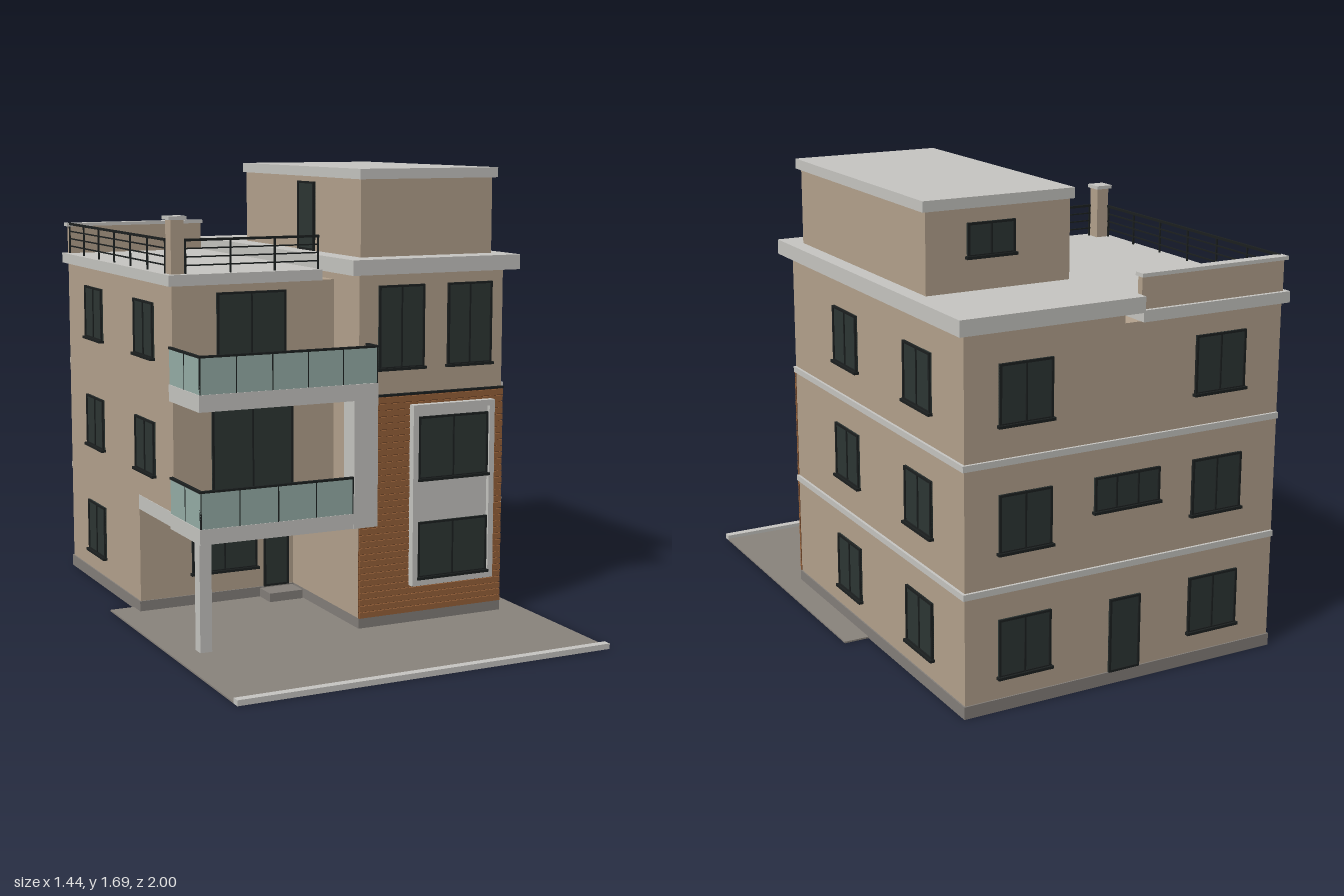
import * as THREE from 'three';

const mat = (name, color) => {
  const m = new THREE.MeshStandardMaterial({ color });
  m.name = name;
  return m;
};

export function createModel() {
  const house = new THREE.Group();
  house.name = 'house';
  const M = {
    wall: mat('beige render', 0xb5a38e),
    trim: mat('light concrete', 0xc8c7c3),
    wood: mat('wood cladding', 0x98623a),
    gap: mat('dark wood', 0x5a351d),
    glass: mat('window glass', 0x2d3634),
    frame: mat('black metal', 0x1c2020),
    balcony: mat('balcony glass', 0x97afa8),
    paving: mat('paving', 0x8a847d),
    plinth: mat('plinth grey', 0x85807b),
  };

  // Box given by its minimum and maximum on each axis
  const box = (name, material, x0, x1, y0, y1, z0, z1, parent = house) => {
    const mesh = new THREE.Mesh(new THREE.BoxGeometry(x1 - x0, y1 - y0, z1 - z0), material);
    mesh.position.set((x0 + x1) / 2, (y0 + y1) / 2, (z0 + z1) / 2);
    mesh.name = name;
    parent.add(mesh);
    return mesh;
  };

  // Framed opening on a wall: u runs along the wall, d is the wall plane
  const opening = (name, side, u0, u1, y0, y1, d, { sill = true, panes = 2 } = {}) => {
    const g = new THREE.Group();
    g.name = name;
    const w = u1 - u0, h = y1 - y0, f = 0.008;
    box('pane', M.glass, -w / 2, w / 2, 0, h, 0, 0.005, g);
    for (const s of [-1, 1]) {
      const x = s * (w / 2 - f / 2);
      box('frameSide', M.frame, x - f / 2, x + f / 2, 0, h, 0, 0.01, g);
    }
    box('frameTop', M.frame, -w / 2 + f, w / 2 - f, h - f, h, 0, 0.01, g);
    box('frameBottom', M.frame, -w / 2 + f, w / 2 - f, 0, f, 0, 0.01, g);
    for (let i = 1; i < panes; i++) {
      const x = -w / 2 + (w * i) / panes;
      box('mullion', M.frame, x - 0.003, x + 0.003, f, h - f, 0, 0.009, g);
    }
    if (sill) box('sill', M.frame, -w / 2 - 0.006, w / 2 + 0.006, -0.006, 0.004, 0, 0.018, g);
    const u = (u0 + u1) / 2;
    if (side === 'front') g.position.set(u, y0, d);
    if (side === 'back') { g.position.set(u, y0, d); g.rotation.y = Math.PI; }
    if (side === 'left') { g.position.set(d, y0, u); g.rotation.y = Math.PI / 2; }
    if (side === 'right') { g.position.set(d, y0, u); g.rotation.y = -Math.PI / 2; }
    house.add(g);
  };

  // Forecourt and kerb
  box('forecourt', M.paving, -0.72, 0.72, 0, 0.006, -0.225, 0.97);
  box('kerb', M.trim, -0.72, 0.72, 0, 0.02, 0.97, 1);

  // Plinths and door step
  box('tallWingPlinth', M.plinth, 0.02, 0.625, 0, 0.045, -0.975, 0.41);
  box('lowWingPlinth', M.plinth, -0.625, 0.02, 0, 0.045, -0.975, -0.155);
  box('doorStep', M.plinth, -0.125, 0.015, 0, 0.04, -0.155, -0.06);

  // Wings: the low wing's ground floor is set back under the upper floors
  box('tallWing', M.wall, 0.02, 0.62, 0.045, 1.315, -0.97, 0.405);
  box('lowWingGroundFloor', M.wall, -0.62, 0.02, 0.045, 0.46, -0.97, -0.16);
  box('lowWingUpperFloors', M.wall, -0.62, 0.02, 0.46, 1.28, -0.97, 0.2);
  box('porchSoffit', M.trim, -0.622, 0.02, 0.405, 0.46, -0.16, 0.2);

  // Floor bands along the long side and the back
  for (const y of [0.424, 0.864]) {
    box('sideBand', M.trim, 0.62, 0.63, y, y + 0.022, -0.98, 0.405);
    box('backBand', M.trim, -0.62, 0.62, y, y + 0.022, -0.98, -0.97);
  }

  // Roof slabs
  box('lowRoof', M.trim, -0.64, -0.04, 1.28, 1.32, -0.99, 0.225);
  box('tallRoof', M.trim, -0.04, 0.65, 1.315, 1.37, -1, 0.475);

  // Stair house on the roof
  box('stairHouse', M.wall, 0.045, 0.592, 1.37, 1.65, -0.655, 0.365);
  box('stairHouseRoof', M.trim, 0.035, 0.608, 1.65, 1.687, -0.67, 0.38);
  opening('stairHouseDoor', 'right', -0.15, -0.01, 1.37, 1.63, 0.045, { sill: false, panes: 1 });
  opening('stairHouseWindow', 'back', 0.26, 0.44, 1.485, 1.6, -0.655);

  // Terrace parapet, pillar and railings
  box('parapet', M.wall, -0.62, -0.04, 1.32, 1.43, -0.975, -0.95);
  box('parapetCap', M.trim, -0.632, -0.035, 1.43, 1.443, -0.985, -0.942);
  box('pillar', M.wall, -0.62, -0.57, 1.32, 1.512, 0.145, 0.197);
  box('pillarCap', M.trim, -0.63, -0.563, 1.512, 1.525, 0.136, 0.206);
  const r = 0.003;
  for (const y of [1.35, 1.38, 1.41, 1.44]) {
    const t = y > 1.43 ? 0.0045 : 0.0025;
    box('frontRail', M.frame, -0.57, -0.04, y - t, y + t, 0.195 - t, 0.195 + t);
    box('sideRail', M.frame, -0.62 - t, -0.62 + t, y - t, y + t, -0.95, 0.145);
  }
  for (let i = 0; i < 4; i++) {
    const x = -0.565 + i * 0.174;
    box('frontRailPost', M.frame, x - r, x + r, 1.32, 1.44, 0.192, 0.198);
  }
  for (let i = 0; i < 7; i++) {
    const z = 0.14 - i * 0.181;
    box('sideRailPost', M.frame, -0.623, -0.617, 1.32, 1.44, z - r, z + r);
  }

  // Balconies joined by an upright fin, with a column below
  box('lowerBalcony', M.trim, -0.635, -0.04, 0.405, 0.46, 0.2, 0.485);
  box('upperBalcony', M.trim, -0.635, -0.04, 0.87, 0.93, 0.2, 0.485);
  box('balconyFin', M.trim, -0.04, 0.055, 0.405, 0.93, 0.405, 0.488);
  for (const y of [0.405, 0.87]) box('balconyInfill', M.trim, -0.04, 0.02, y, y + 0.055, 0.2, 0.405);
  box('column', M.trim, -0.62, -0.575, 0.006, 0.405, 0.395, 0.44);

  const balustrade = (y, xEnd, posts, hasReturn) => {
    const top = y + 0.127, x0 = -0.632, z1 = 0.483;
    box('frontGlass', M.balcony, x0, xEnd, y, top, z1 - 0.006, z1);
    box('sideGlass', M.balcony, x0, x0 + 0.006, y, top, 0.2, z1 - 0.006);
    box('frontHandrail', M.frame, x0 - 0.004, xEnd + 0.003, top, top + 0.008, z1 - 0.009, z1 + 0.003);
    box('sideHandrail', M.frame, x0 - 0.004, x0 + 0.008, top, top + 0.008, 0.2, z1 - 0.009);
    if (hasReturn) {
      box('returnGlass', M.balcony, xEnd - 0.006, xEnd, y, top, 0.405, z1 - 0.006);
      box('returnHandrail', M.frame, xEnd - 0.009, xEnd + 0.003, top, top + 0.008, 0.405, z1 - 0.009);
    }
    for (let i = 0; i < posts; i++) {
      const x = x0 + ((xEnd - x0) * i) / (posts - 1);
      const xc = Math.min(Math.max(x, x0 + 0.002), xEnd - 0.002);
      box('glassPost', M.frame, xc - 0.002, xc + 0.002, y, top, z1 - 0.008, z1 + 0.001);
    }
    box('sideGlassPost', M.frame, x0 - 0.001, x0 + 0.008, y, top, 0.338, 0.342);
  };
  balustrade(0.46, -0.04, 5, false);
  balustrade(0.93, 0.055, 6, true);

  // Wood cladding: slats over a dark backing
  box('claddingBacking', M.gap, 0.02, 0.62, 0.045, 0.865, 0.405, 0.409);
  const slats = 34, pitch = 0.82 / slats;
  for (let i = 0; i < slats; i++) {
    const y = 0.045 + i * pitch;
    box('slat', M.wood, 0.02, 0.622, y, y + pitch - 0.003, 0.409, 0.416);
  }
  box('claddingCap', M.frame, 0.02, 0.624, 0.865, 0.873, 0.405, 0.42);

  // Raised surround with two windows
  box('surroundPanel', M.trim, 0.24, 0.555, 0.165, 0.815, 0.405, 0.428);
  for (const [a, b] of [[0.225, 0.247], [0.548, 0.57]])
    box('surroundSide', M.trim, a, b, 0.15, 0.83, 0.405, 0.445);
  for (const [a, b] of [[0.15, 0.172], [0.808, 0.83]])
    box('surroundEdge', M.trim, 0.247, 0.548, a, b, 0.405, 0.445);
  for (const [a, b] of [[0.178, 0.39], [0.55, 0.785]])
    opening('surroundWindow', 'front', 0.25, 0.545, a, b, 0.432);

  // Front openings
  opening('upperWindow', 'front', 0.097, 0.285, 0.965, 1.27, 0.405);
  opening('upperWindow', 'front', 0.383, 0.571, 0.965, 1.27, 0.405);
  opening('upperBalconyDoor', 'front', -0.45, -0.178, 0.938, 1.25, 0.2);
  opening('lowerBalconyDoor', 'front', -0.472, -0.15, 0.468, 0.83, 0.2);
  opening('porchWindow', 'front', -0.41, -0.137, 0.127, 0.355, -0.16);
  opening('frontDoor', 'front', -0.108, -0.002, 0.045, 0.315, -0.16, { sill: false, panes: 1 });

  // Side and back windows on three floors
  [[0.122, 0.33], [0.562, 0.765], [0.998, 1.205]].forEach(([a, b], floor) => {
    opening('sideWindow', 'left', -0.17, 0.027, a, b, 0.62);
    opening('sideWindow', 'left', -0.747, -0.547, a, b, 0.62);
    opening('sideWindow', 'right', -0.747, -0.547, a, b, -0.62);
    if (floor > 0) opening('sideWindow', 'right', -0.18, 0.02, a, b, -0.62);
    opening('backWindow', 'back', 0.295, 0.495, a, b, -0.97);
    opening('backWindow', 'back', -0.47, -0.265, a, b, -0.97);
  });
  opening('backSmallWindow', 'back', -0.13, 0.13, 0.642, 0.765, -0.97, { panes: 3 });
  opening('backDoor', 'back', -0.062, 0.062, 0.045, 0.315, -0.97, { sill: false, panes: 1 });

  return house;
}
